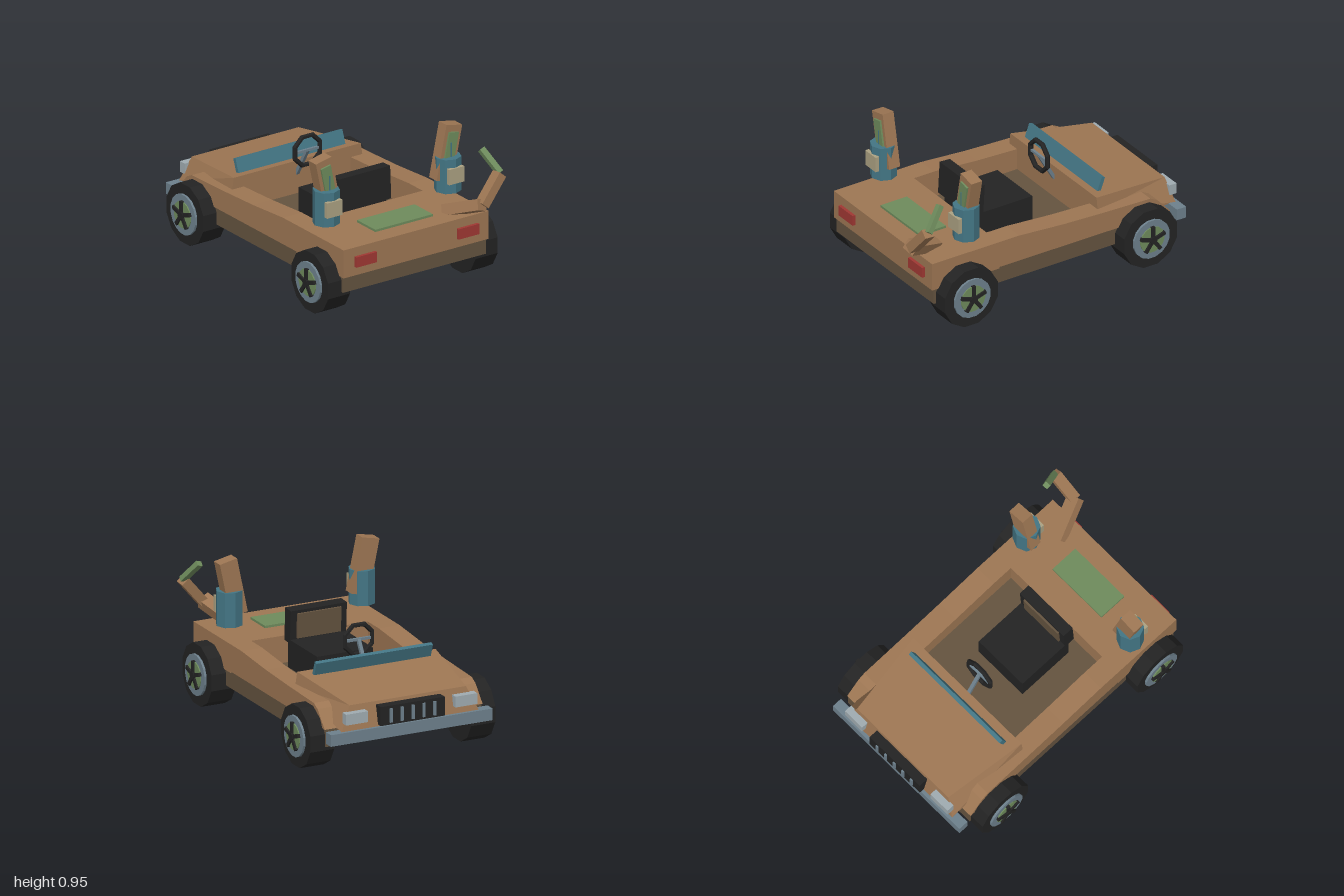
import * as THREE from 'three';

const paint = (name, color) => {
  const m = new THREE.MeshStandardMaterial({ color, flatShading: true });
  m.name = name;
  return m;
};

export function createModel() {
  const brown = paint('tan brown', 0x9d7653);
  const dark = paint('dark brown', 0x64533f);
  const black = paint('black', 0x232323);
  const steel = paint('blue grey', 0x6d808c);
  const teal = paint('teal', 0x437584);
  const green = paint('green', 0x6e8b5c);
  const red = paint('red', 0x9f3833);
  const cream = paint('cream', 0xaba182);
  const glass = paint('pale grey', 0x9fabb0);

  const root = new THREE.Group();
  root.name = 'buggy';
  const add = (name, geo, mat, parent = root) => {
    const m = new THREE.Mesh(geo, mat);
    m.name = name;
    parent.add(m);
    return m;
  };
  // Box given by its minimum and maximum corners
  const box = (name, mat, x0, x1, y0, y1, z0, z1, parent = root) => {
    const m = add(name, new THREE.BoxGeometry(x1 - x0, y1 - y0, z1 - z0), mat, parent);
    m.position.set((x0 + x1) / 2, (y0 + y1) / 2, (z0 + z1) / 2);
    return m;
  };
  // Side profile of [z, y] points, extruded from x0 to x1
  const slab = (name, mat, pts, x0, x1) => {
    const shape = new THREE.Shape(pts.map(([z, y]) => new THREE.Vector2(z, y)));
    const geo = new THREE.ExtrudeGeometry(shape, { depth: x1 - x0, bevelEnabled: false });
    geo.rotateY(-Math.PI / 2).translate(x1, 0, 0);
    return add(name, geo, mat);
  };
  // Square bar between two points
  const bar = (name, mat, a, b, w, d, parent = root) => {
    const p = new THREE.Vector3(...a), q = new THREE.Vector3(...b);
    const m = add(name, new THREE.BoxGeometry(w, p.distanceTo(q), d), mat, parent);
    m.position.copy(p).lerp(q, 0.5);
    m.quaternion.setFromUnitVectors(new THREE.Vector3(0, 1, 0), q.sub(p).normalize());
    return m;
  };

  // Chassis, also the cabin floor
  box('chassis', dark, -0.535, 0.535, 0.168, 0.28, -0.865, 0.862);

  // Rear deck, side rails and front fenders
  slab('rearDeck', brown, [[0.385, 0.27], [0.878, 0.27], [0.878, 0.455], [0.385, 0.455]], -0.542, 0.542);
  for (const s of [-1, 1]) {
    const x = s < 0 ? [-0.542, -0.4] : [0.4, 0.542];
    slab('sideRail', brown, [[-0.37, 0.28], [0.385, 0.28], [0.385, 0.455], [0.24, 0.455],
      [-0.08, 0.432], [-0.37, 0.42]], ...x);
  }
  slab('frontFenders', brown, [[-0.865, 0.28], [-0.37, 0.28], [-0.37, 0.42], [-0.72, 0.41],
    [-0.77, 0.385]], -0.542, 0.542);

  // Tapered hood: box corners moved to a wedge
  const hood = new THREE.BoxGeometry(2, 2, 2);
  const hp = hood.attributes.position;
  for (let i = 0; i < hp.count; i++) {
    const top = hp.getY(i) > 0, back = hp.getZ(i) > 0;
    const half = back ? (top ? 0.475 : 0.49) : (top ? 0.4 : 0.47);
    const y = back ? (top ? 0.495 : 0.4) : (top ? 0.432 : 0.28);
    const z = back ? -0.37 : (top ? -0.918 : -0.952);
    hp.setXYZ(i, Math.sign(hp.getX(i)) * half, y, z);
  }
  hood.computeVertexNormals();
  add('hood', hood, brown);
  box('noseFiller', brown, -0.46, 0.46, 0.275, 0.3, -0.945, -0.8);

  // Windshield strip
  bar('windshield', teal, [0, 0.48, -0.436], [0, 0.572, -0.47], 0.8, 0.025);

  // Front end
  box('bumper', steel, -0.555, 0.555, 0.205, 0.28, -0.973, -0.905);
  box('grille', black, -0.22, 0.22, 0.29, 0.412, -0.985, -0.92);
  for (let i = -2; i <= 2; i++) box('grilleBar', steel, i * 0.075 - 0.009, i * 0.075 + 0.009, 0.305, 0.395, -0.995, -0.98);
  for (const s of [-1, 1]) {
    box('headlight', glass, s * 0.375 - 0.075, s * 0.375 + 0.075, 0.325, 0.395, -0.972, -0.92);
    box('tailLight', red, s * 0.383 - 0.078, s * 0.383 + 0.078, 0.328, 0.396, 0.87, 0.898);
  }
  box('deckPanel', green, -0.215, 0.215, 0.45, 0.47, 0.56, 0.752);

  // Seat
  box('seatCushion', black, -0.192, 0.192, 0.28, 0.462, -0.088, 0.3);
  bar('seatBack', black, [0, 0.44, 0.31], [0, 0.652, 0.298], 0.385, 0.075);
  bar('seatPad', dark, [0, 0.47, 0.267], [0, 0.63, 0.258], 0.3, 0.018);

  // Steering wheel and column
  const wheelRing = add('steeringWheel', new THREE.TorusGeometry(0.1, 0.016, 6, 8), black);
  wheelRing.position.set(0, 0.6, -0.265);
  wheelRing.rotation.z = Math.PI / 8;
  bar('steeringColumn', steel, [0, 0.6, -0.265], [0, 0.41, -0.375], 0.022, 0.022);
  box('steeringSpoke', steel, -0.09, 0.09, 0.592, 0.608, -0.273, -0.257);

  // Wheels: tyre, rim, disc and five spokes; built facing +x
  const disc = (name, mat, r, x0, x1, n, parent) => {
    const geo = new THREE.CylinderGeometry(r, r, x1 - x0, n);
    geo.rotateY(Math.PI / n).rotateZ(-Math.PI / 2).translate((x0 + x1) / 2, 0, 0);
    return add(name, geo, mat, parent);
  };
  for (const s of [-1, 1]) for (const z of [-0.66, 0.652]) {
    const wheel = new THREE.Group();
    wheel.name = 'wheel';
    disc('tyre', black, 0.2, 0.47, 0.635, 12, wheel);
    disc('rim', steel, 0.132, 0.6, 0.65, 16, wheel);
    disc('rimDisc', green, 0.088, 0.64, 0.657, 16, wheel);
    disc('hub', black, 0.026, 0.65, 0.672, 10, wheel);
    for (let i = 0; i < 5; i++) {
      const a = i * Math.PI * 0.4;
      bar('spoke', black, [0.659, 0, 0], [0.659, 0.092 * Math.cos(a), 0.092 * Math.sin(a)], 0.02, 0.024, wheel)
        .rotation.set(a, 0, 0);
    }
    wheel.position.set(0, 0.195, z);
    if (s < 0) wheel.rotation.y = Math.PI;
    root.add(wheel);
  }

  // Rear pods with slanted uprights
  for (const s of [-1, 1]) {
    const pod = new THREE.Group();
    pod.name = s < 0 ? 'rightPod' : 'leftPod';
    const can = add('podCan', new THREE.CylinderGeometry(0.085, 0.085, 0.224, 8), teal, pod);
    can.position.set(s * 0.455, 0.628, 0.572);
    bar('podUpright', brown, [s * 0.415, 0.588, 0.555], [s * 0.489, 0.94, 0.555], 0.12, 0.08, pod);
    bar('podPlate', green, [s * 0.437, 0.69, 0.6], [s * 0.48, 0.897, 0.6], 0.072, 0.014, pod);
    box('podPin', teal, s * 0.455 - 0.004, s * 0.455 + 0.004, 0.73, 0.835, 0.6, 0.611, pod);
    box('podLabel', cream, s * 0.457 - 0.057, s * 0.457 + 0.057, 0.585, 0.686, 0.64, 0.666, pod);
    root.add(pod);
  }

  // Jointed arm on the left rear corner
  bar('armBase', brown, [0.335, 0.455, 0.72], [0.432, 0.55, 0.965], 0.085, 0.07);
  bar('armMiddle', brown, [0.44, 0.545, 0.955], [0.585, 0.712, 0.935], 0.06, 0.07);
  bar('armTip', green, [0.588, 0.715, 0.935], [0.533, 0.845, 0.815], 0.038, 0.035);

  return root;
}
